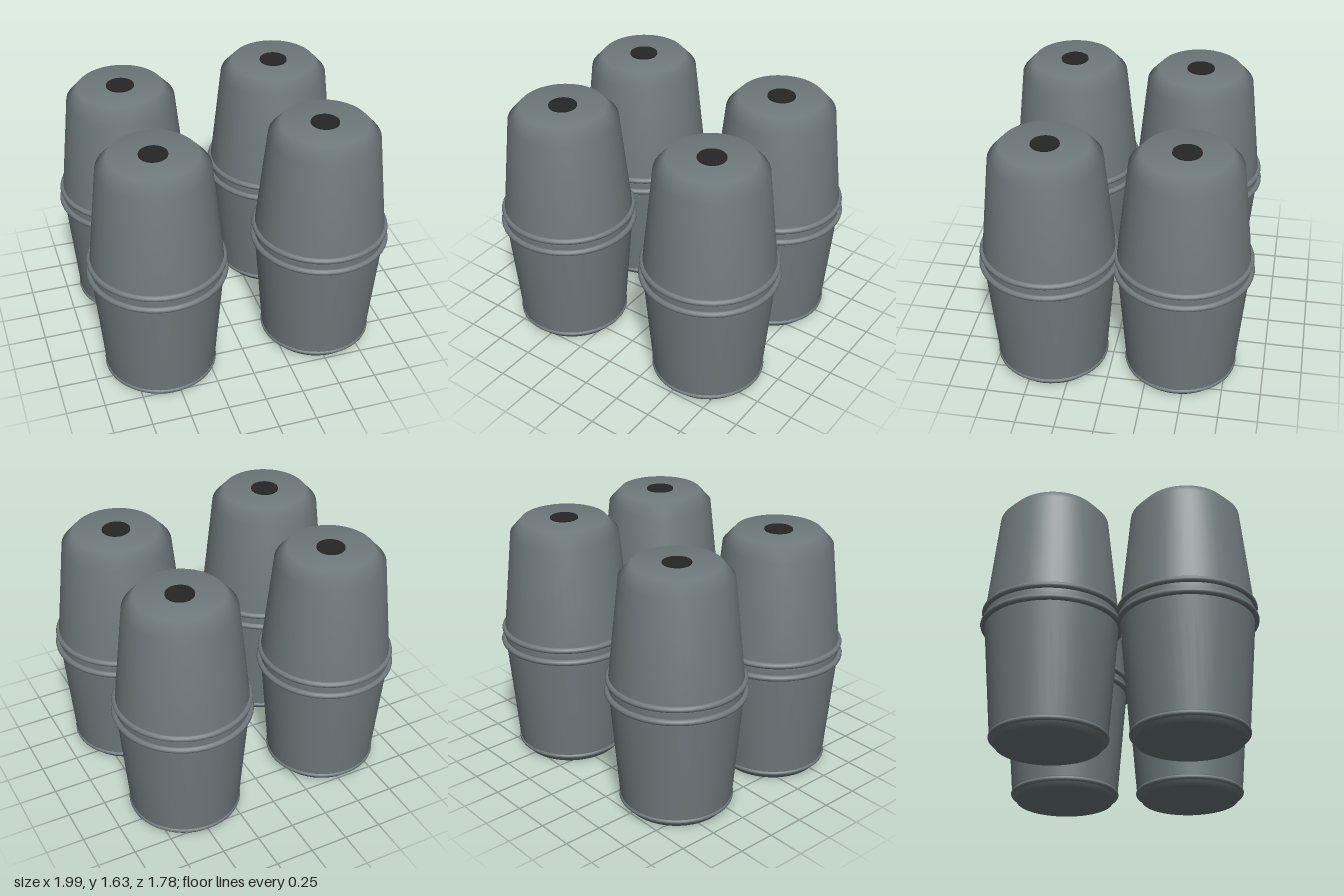
import * as THREE from 'three';

const shell = new THREE.MeshStandardMaterial({ color: 0x6f7a7c });
shell.name = 'greyPlastic';
const dark = new THREE.MeshStandardMaterial({ color: 0x262626 });
dark.name = 'blackPlug';

const SEGMENTS = 48;

function lathe(points) {
  return new THREE.LatheGeometry(points.map(([r, y]) => new THREE.Vector2(r, y)), SEGMENTS);
}

// Profiles run from bottom to top
const lowerGeometry = lathe([[0, 0], [0.325, 0], [0.352, 0.04], [0.36, 0.07], [0.42, 0.79], [0.42, 0.835]]);
const upperGeometry = lathe([[0.42, 0.835], [0.42, 0.88], [0.35, 1.545], [0.276, 1.627], [0, 1.627]]);
const plugGeometry = new THREE.CylinderGeometry(0.09, 0.09, 0.008, 32);

// Raised bands: name, outer radius, tube radius, height
const bands = [
  ['baseBand', 0.366, 0.016, 0.05],
  ['lowerRimBand', 0.447, 0.02, 0.793],
  ['upperRimBand', 0.44, 0.02, 0.876],
].map(([name, outer, tube, y]) => {
  const geometry = new THREE.TorusGeometry(outer - tube, tube, 12, SEGMENTS);
  geometry.rotateX(Math.PI / 2);
  geometry.translate(0, y, 0);
  return { name, geometry };
});

function addMesh(parent, name, geometry, material) {
  const mesh = new THREE.Mesh(geometry, material);
  mesh.name = name;
  parent.add(mesh);
  return mesh;
}

function createBarrel() {
  const barrel = new THREE.Group();
  addMesh(barrel, 'lowerShell', lowerGeometry, shell);
  addMesh(barrel, 'upperShell', upperGeometry, shell);
  for (const { name, geometry } of bands) addMesh(barrel, name, geometry, shell);
  addMesh(barrel, 'topPlug', plugGeometry, dark).position.y = 1.63;
  return barrel;
}

export function createModel() {
  const model = new THREE.Group();
  model.name = 'barrelCluster';
  const places = [
    ['backRightBarrel', -0.55, -0.41],
    ['frontRightBarrel', -0.55, 0.44],
    ['backLeftBarrel', 0.506, -0.45],
    ['frontLeftBarrel', 0.548, 0.4],
  ];
  for (const [name, x, z] of places) {
    const barrel = createBarrel();
    barrel.name = name;
    barrel.position.set(x, 0, z);
    model.add(barrel);
  }
  return model;
}
